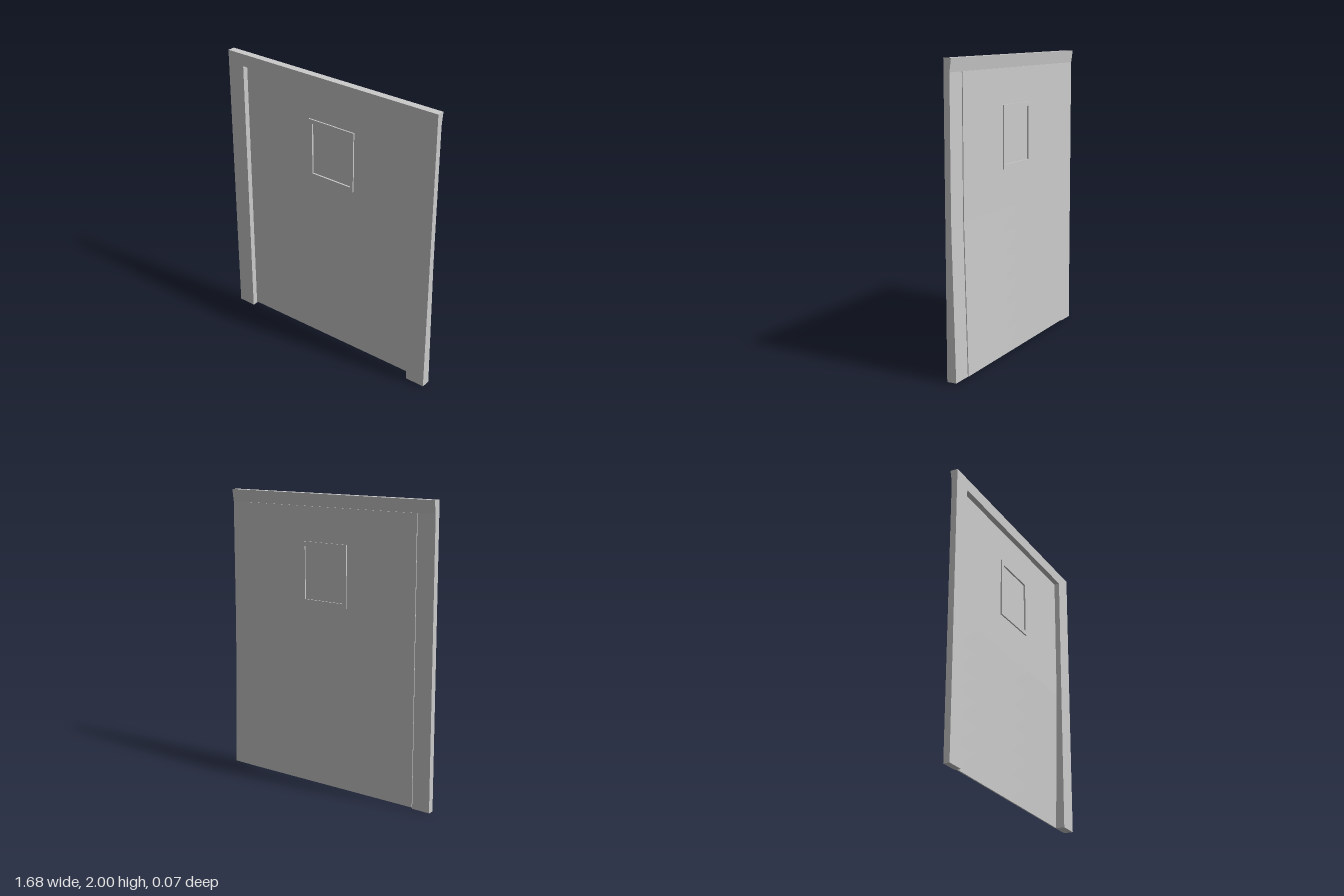
import * as THREE from 'three';

const material = new THREE.MeshStandardMaterial({ color: 0xcccccc, flatShading: true });

function part(name, geometry) {
  const mesh = new THREE.Mesh(geometry, material);
  mesh.name = name;
  return mesh;
}

// Box given by its limits; bend(x, y, z) returns the new z of each vertex
function block(name, [x0, x1], [y0, y1], [z0, z1], bend, sx = 1, sy = 1) {
  const g = new THREE.BoxGeometry(x1 - x0, y1 - y0, z1 - z0, sx, sy, 1);
  g.translate((x0 + x1) / 2, (y0 + y1) / 2, (z0 + z1) / 2);
  if (bend) {
    const p = g.attributes.position;
    for (let i = 0; i < p.count; i++) p.setZ(i, bend(p.getX(i), p.getY(i), p.getZ(i)));
    g.computeVertexNormals();
  }
  return part(name, g);
}

function trace(target, [x0, x1], [y0, y1]) {
  target.moveTo(x0, y0);
  target.lineTo(x1, y0);
  target.lineTo(x1, y1);
  target.lineTo(x0, y1);
  target.closePath();
  return target;
}

// Rectangular plate with a rectangular opening
function ring(name, outerX, outerY, innerX, innerY, [z0, z1]) {
  const shape = trace(new THREE.Shape(), outerX, outerY);
  shape.holes.push(trace(new THREE.Path(), innerX, innerY));
  const g = new THREE.ExtrudeGeometry(shape, { depth: z1 - z0, bevelEnabled: false });
  g.translate(0, 0, z0);
  return part(name, g);
}

export function createModel() {
  const model = new THREE.Group();
  const front = 0.034, postBack = -0.007, top = 1.915, crease = 1;
  const doorX = [-0.71, 0.7], doorZ = [-0.013, -0.004];
  const winX = [-0.17, 0.2], winY = [1.26, 1.68];
  const paneX = [-0.14, 0.18], paneY = [1.29, 1.65];

  // The lower half warps backwards, most at the left-hand edge of the door
  const warp = (x, y) => -0.024 * Math.max(0, crease - y) * (x - doorX[0]) / (doorX[1] - doorX[0]);

  // Door frame
  model.add(block('rightPost', [-0.84, -0.71], [0, top], [postBack, front]));
  model.add(block('leftPost', [0.7, 0.84], [0.008, top], [postBack, front],
    (x, y, z) => (z < 0 ? z + Math.min(0, -0.024 * (crease - y)) * (y < crease ? 1 : 0) : z), 1, 8));
  // Lintel, thicker along its top edge
  model.add(block('lintel', [-0.84, 0.84], [top, 2], [-0.019, front],
    (x, y, z) => (z < 0 && y < 1.95 ? postBack : z)));

  // Door panel: flat upper half with the window opening, warped lower half
  model.add(ring('upperDoorPanel', doorX, [crease, top], winX, winY, doorZ));
  model.add(block('lowerDoorPanel', doorX, [0.01, crease], doorZ,
    (x, y, z) => z + warp(x, y), 6, 6));

  // Window
  model.add(ring('windowTrim', winX, winY, paneX, paneY, [-0.02, 0.006]));
  model.add(block('windowPane', paneX, paneY, [-0.011, -0.006]));

  return model;
}
